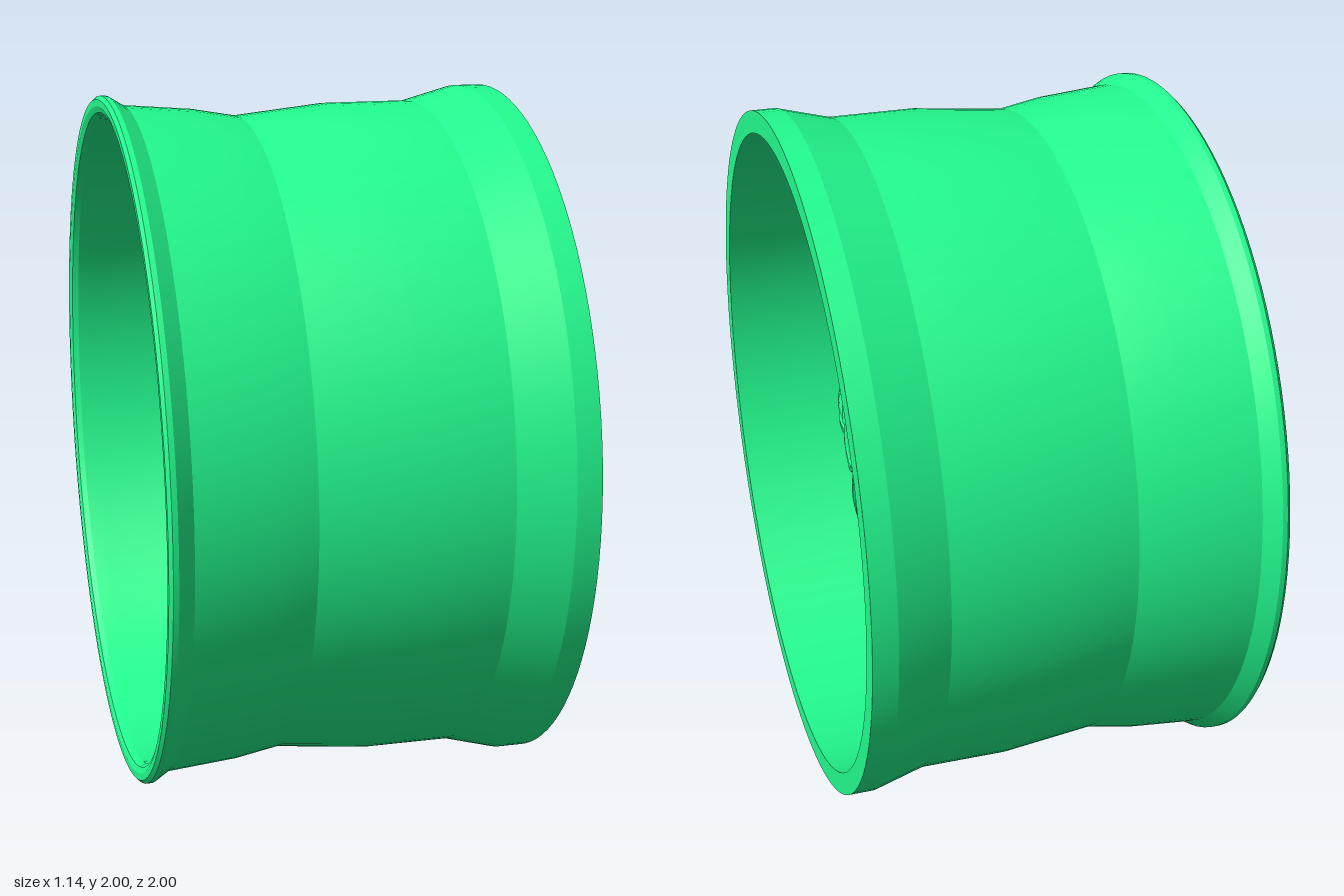
import * as THREE from 'three';
import { toCreasedNormals } from 'three/addons/utils/BufferGeometryUtils.js';

const SPOKES = 7;
const STEP = (Math.PI * 2) / SPOKES;
const material = new THREE.MeshStandardMaterial({ color: 0x22fc8f });

// The wheel is built with its axle along z (outer face +z), then turned to face +x.
function part(name, geometry, parent) {
  const mesh = new THREE.Mesh(geometry, material);
  mesh.name = name;
  parent.add(mesh);
  return mesh;
}

// Profile points are [radius, depth along the axle].
function turned(profile, segments, crease) {
  const g = new THREE.LatheGeometry(profile.map(([r, d]) => new THREE.Vector2(r, d)), segments);
  g.rotateX(Math.PI / 2);
  return toCreasedNormals(g, crease);
}

function disc(radius, from, to, sides, frontRadius = radius) {
  const g = new THREE.CylinderGeometry(frontRadius, radius, to - from, sides);
  g.rotateX(Math.PI / 2).rotateZ(Math.PI).translate(0, 0, (from + to) / 2);
  return toCreasedNormals(g, 0.6);
}

// Hexagonal bolt with a raised tip and a shank running through to the back
function bolt(name, x, y, from, to) {
  const g = new THREE.Group();
  g.name = name;
  part('boltHead', disc(0.027, to - 0.04, to, 6), g);
  part('boltTip', disc(0.014, to - 0.01, to + 0.01, 10), g);
  part('boltShank', disc(0.019, from, to - 0.03, 10), g);
  g.position.set(x, y, 0);
  return g;
}

// Spoke lofted outward from the hub: a grooved bar whose hollow-backed skirts flare into the ring
function spokeGeometry() {
  // radius, half width, crest depth, skirt edge depth, depth of the back
  const stations = [
    [0.10, 0.07, 0.365, 0.345, 0.24],
    [0.32, 0.113, 0.352, 0.305, 0.21],
    [0.45, 0.097, 0.325, 0.255, 0.19],
    [0.6, 0.102, 0.285, 0.21, 0.16],
    [0.7, 0.116, 0.255, 0.18, 0.145],
    [0.77, 0.15, 0.235, 0.15, 0.14],
    [0.815, 0.21, 0.22, 0.115, 0.13],
    [0.85, 0.25, 0.2, 0.09, 0.12],
    [0.938, 0.25, 0.18, 0.08, 0.1],
  ];
  const curveA = new THREE.CatmullRomCurve3(stations.map(s => new THREE.Vector3(s[0], s[1], s[2])));
  const curveB = new THREE.CatmullRomCurve3(stations.map(s => new THREE.Vector3(s[3], s[4], 0)));
  const rows = 48;
  const half = [0, 0.01, 0.018];
  const positions = [], indices = [];
  let count = 0;
  for (let i = 0; i <= rows; i++) {
    const { x: r, y: w, z: crest } = curveA.getPoint(i / rows);
    const { x: edge, y: back } = curveB.getPoint(i / rows);
    const groove = 0.008 * (1 - THREE.MathUtils.smoothstep(r, 0.78, 0.83));
    const right = half.map((x, k) => [x, crest - (k < 2 ? groove : 0)]);
    for (let k = 1; k <= 8; k++) {
      const t = k / 8;
      const fall = THREE.MathUtils.smoothstep(t, 0.1, 1.15);
      right.push([0.018 + (w - 0.018) * t, crest + (edge - crest) * fall]);
    }
    right.push([w, edge - 0.035], [w * 0.85, edge - 0.04], [w * 0.4, back]);
    const left = right.slice(1).reverse().map(([x, z]) => [-x, z]);
    const loop = [...left, ...right];
    count = loop.length;
    const bend = THREE.MathUtils.smoothstep(r, 0.7, 0.92);
    for (const [x, z] of loop) positions.push(x, Math.sqrt(r * r - x * x * bend), z);
  }
  for (let i = 0; i < rows; i++) {
    for (let j = 0; j < count; j++) {
      const a = i * count + j, b = i * count + ((j + 1) % count);
      indices.push(a, b, b + count, a, b + count, a + count);
    }
  }
  const g = new THREE.BufferGeometry();
  g.setAttribute('position', new THREE.Float32BufferAttribute(positions, 3));
  g.setIndex(indices);
  return toCreasedNormals(g, 0.6);
}

// Raised centre plate notched where each spoke groove runs in
function centrePlateGeometry() {
  const points = [];
  for (let i = 0; i < SPOKES; i++) {
    const a = Math.PI / 2 + i * STEP;
    const add = (r, t) => points.push(new THREE.Vector2(r * Math.cos(a + t), r * Math.sin(a + t)));
    add(0.12, -0.15);
    add(0.12, 0.15);
    for (let k = 0; k <= 6; k++) add(0.17, 0.15 + (STEP - 0.3) * k / 6);
  }
  const g = new THREE.ExtrudeGeometry(new THREE.Shape(points), {
    depth: 0.02, bevelEnabled: true, bevelSize: 0.006, bevelThickness: 0.006, bevelSegments: 1,
  });
  return g.translate(0, 0, 0.348);
}

export function createModel() {
  const model = new THREE.Group();
  model.name = 'wheel';
  const wheel = new THREE.Group();
  wheel.name = 'wheelBody';
  wheel.rotation.y = Math.PI / 2;
  wheel.position.y = 1;
  model.add(wheel);

  // Barrel: outer skin back to front, then the inner skin back again
  part('rimBarrel', turned([
    [0.945, -0.545], [0.953, -0.563], [0.97, -0.57], [0.99, -0.57], [1, -0.56], [1, -0.545],
    [0.972, -0.5], [0.955, -0.3], [0.932, -0.17], [0.96, 0.1], [0.96, 0.35], [1, 0.5], [1, 0.57],
    [0.936, 0.57], [0.936, 0.05], [0.91, 0.01], [0.91, -0.17], [0.93, -0.3],
    [0.94, -0.5], [0.945, -0.545],
  ], 112, 0.12), wheel);

  // Flange that carries the spokes
  part('mountingRing', turned([
    [0.86, 0.03], [0.938, 0.03], [0.938, 0.085], [0.867, 0.085], [0.86, 0.078], [0.86, 0.03],
  ], 112, 0.45), wheel);

  // Hub with a seven-sided sloping skirt behind it
  const corner = 1 / Math.cos(Math.PI / SPOKES);
  part('hubSkirt', disc(0.42 * corner, 0.2, 0.295, SPOKES, 0.335 * corner), wheel);
  part('hubDisc', turned([
    [0, 0.19], [0.33, 0.19], [0.33, 0.318], [0.322, 0.328], [0.25, 0.343], [0.17, 0.352], [0, 0.355],
  ], 84, 0.45), wheel);
  part('centrePlate', centrePlateGeometry(), wheel);
  part('centreCap', turned([
    [0.075, 0.34], [0.075, 0.385], [0.068, 0.392], [0.062, 0.388], [0, 0.388],
  ], 48, 0.45), wheel);

  // Spokes with their end bolts, and three ring bolts in each window
  const spoke = spokeGeometry();
  for (let i = 0; i < SPOKES; i++) {
    const sector = new THREE.Group();
    sector.name = 'spokeSector';
    sector.rotation.z = i * STEP;
    part('spoke', spoke, sector);
    sector.add(bolt('spokeBolt', 0, 0.87, 0.065, 0.215));
    for (const offset of [-0.105, 0, 0.105]) {
      const a = Math.PI / 2 + STEP / 2 + offset;
      sector.add(bolt('ringBolt', 0.895 * Math.cos(a), 0.895 * Math.sin(a), 0.015, 0.115));
    }
    wheel.add(sector);
  }
  return model;
}
